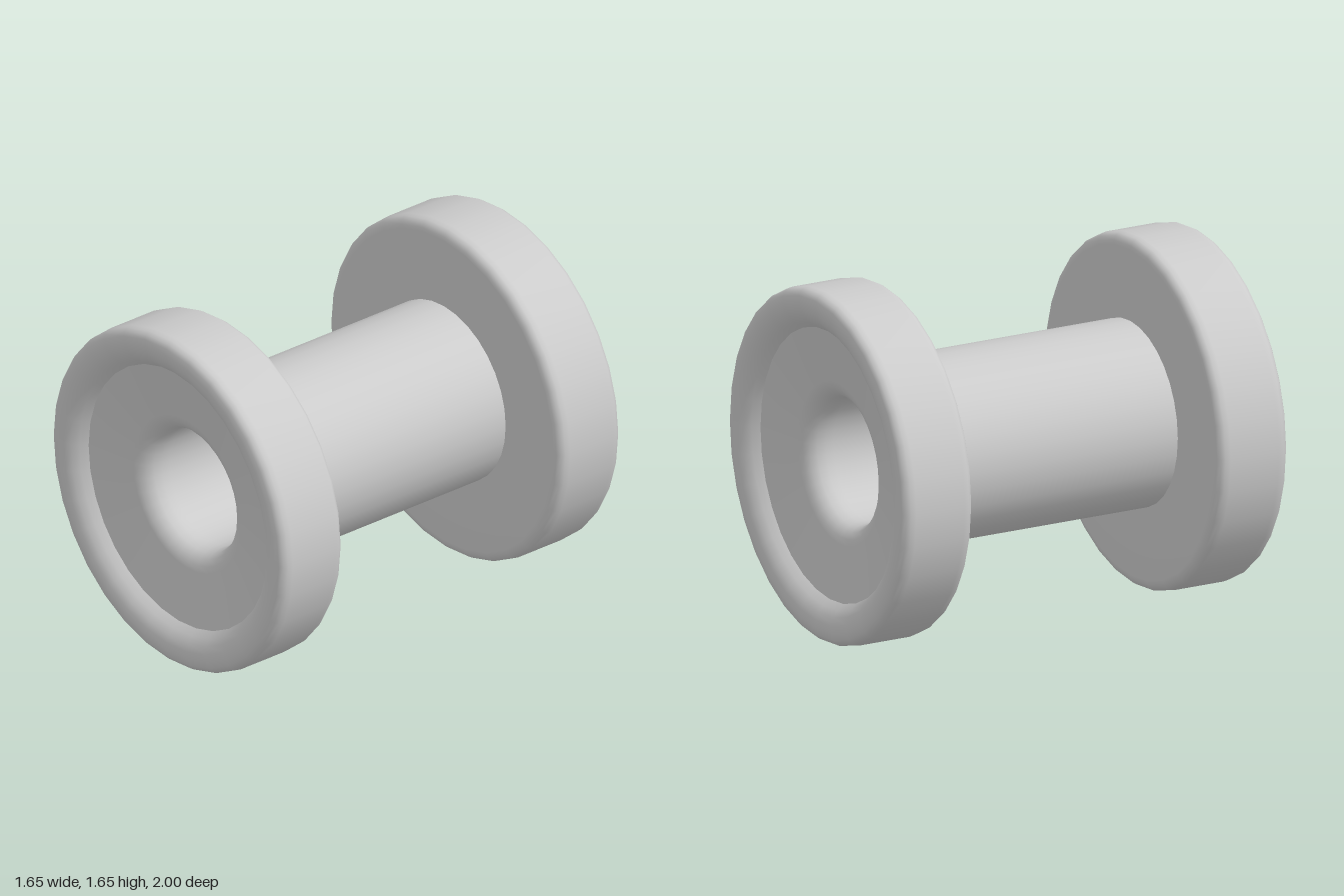
import * as THREE from 'three';

const SIDES = 32;
const RADIUS = 0.825;

const material = new THREE.MeshStandardMaterial({ color: 0xcccccc });

// Revolves [radius, z] points around the z axis
function revolve(name, points) {
  const geometry = new THREE.LatheGeometry(points.map(([r, z]) => new THREE.Vector2(r, z)), SIDES);
  geometry.rotateX(Math.PI / 2);
  const mesh = new THREE.Mesh(geometry, material);
  mesh.name = name;
  return mesh;
}

// One flared end: flat inner face, rounded rim and shallow dish into the bore
function createEnd(name) {
  const end = new THREE.Group();
  end.name = name;
  end.add(
    revolve('flange', [
      [0.43, 0.635], [0.77, 0.635], [0.79, 0.637], [0.81, 0.648], [0.821, 0.665], [RADIUS, 0.69],
      [RADIUS, 0.94], [0.821, 0.965], [0.81, 0.984], [0.79, 0.996], [0.76, 1],
      [0.725, 0.996], [0.69, 0.981], [0.66, 0.957], [0.635, 0.925],
    ]),
    revolve('dish', [
      [0.635, 0.925], [0.38, 0.876], [0.35, 0.868], [0.32, 0.848],
      [0.3, 0.82], [0.29, 0.78], [0.29, 0.74],
    ]),
  );
  return end;
}

export function createModel() {
  const model = new THREE.Group();
  model.name = 'flaredTunnel';

  const frontEnd = createEnd('frontEnd');
  const backEnd = createEnd('backEnd');
  backEnd.rotation.x = Math.PI;

  // Straight tube between the ends, open all the way through
  const tube = revolve('tube', [[0.435, -0.635], [0.435, 0.635]]);
  const bore = revolve('bore', [[0.29, 0.74], [0.29, -0.74]]);

  const body = new THREE.Group();
  body.name = 'body';
  body.add(frontEnd, backEnd, tube, bore);
  body.position.y = RADIUS;
  model.add(body);
  return model;
}
